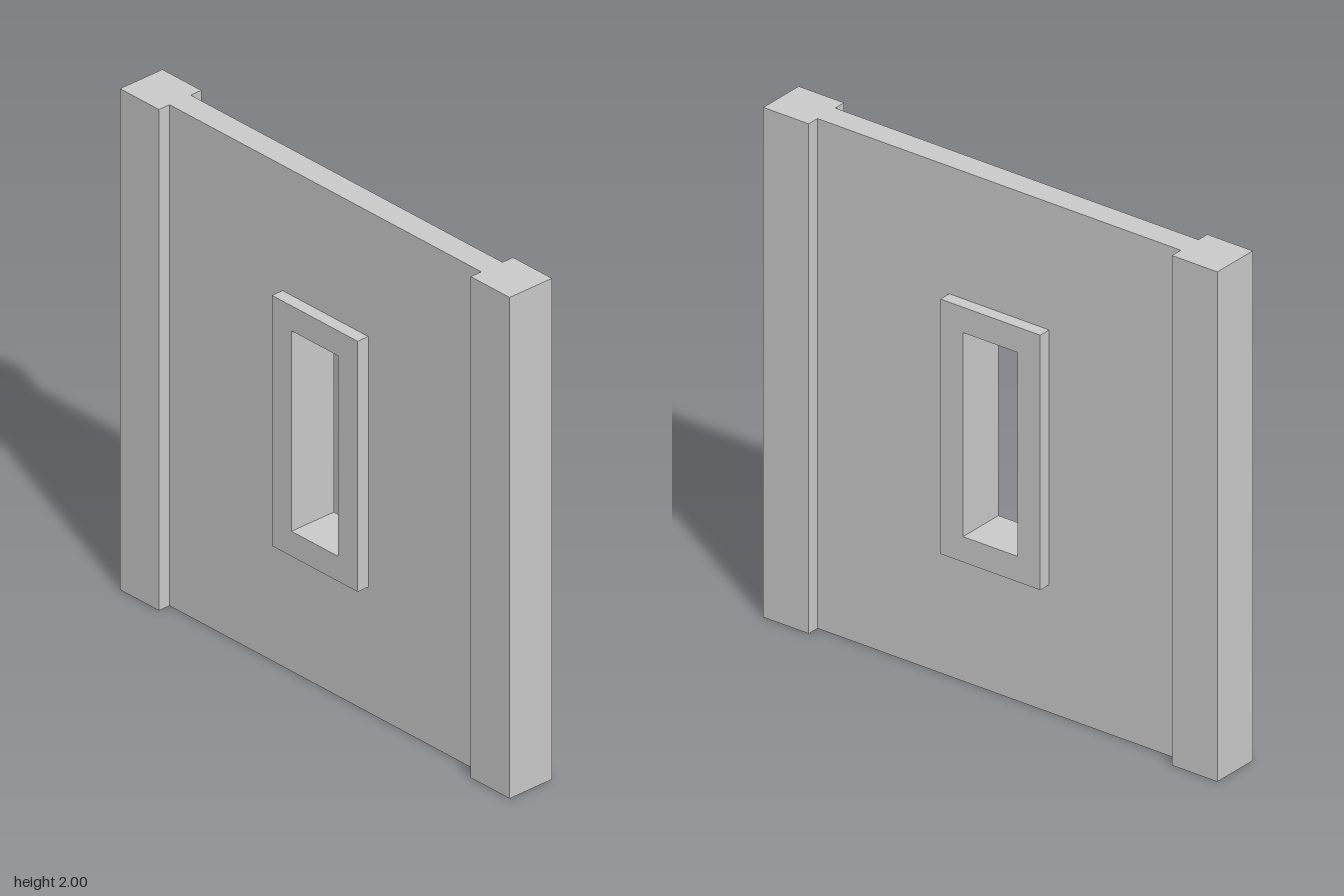
import * as THREE from 'three';

const material = new THREE.MeshStandardMaterial({ color: 0xcccccc, flatShading: true });

function rectangle(PathType, halfWidth, bottom, top) {
  return new PathType([
    new THREE.Vector2(-halfWidth, bottom),
    new THREE.Vector2(halfWidth, bottom),
    new THREE.Vector2(halfWidth, top),
    new THREE.Vector2(-halfWidth, top),
  ]);
}

// Upright slab in the YZ plane with a rectangular opening, centred on x = 0
function piercedSlab(name, outer, inner, thickness) {
  const shape = rectangle(THREE.Shape, ...outer);
  shape.holes.push(rectangle(THREE.Path, ...inner));
  const geometry = new THREE.ExtrudeGeometry(shape, { depth: thickness, bevelEnabled: false });
  geometry.translate(0, 0, -thickness / 2).rotateY(Math.PI / 2);
  const mesh = new THREE.Mesh(geometry, material);
  mesh.name = name;
  return mesh;
}

export function createModel() {
  const group = new THREE.Group();
  group.name = 'wallSection';

  // Half width, bottom and top of each rectangle
  const wall = [0.8, 0, 2];
  const frame = [0.22, 0.5, 1.5];
  const opening = [0.12, 0.6, 1.4];

  // Thin wall, with the thicker window frame set into it
  group.add(piercedSlab('wallPanel', wall, frame, 0.1));
  group.add(piercedSlab('windowFrame', frame, opening, 0.2));

  // Square pillars at both ends
  for (const side of [1, -1]) {
    const pillar = new THREE.Mesh(new THREE.BoxGeometry(0.2, 2, 0.2), material);
    pillar.name = side > 0 ? 'frontPillar' : 'backPillar';
    pillar.position.set(0, 1, side * 0.9);
    group.add(pillar);
  }

  return group;
}
